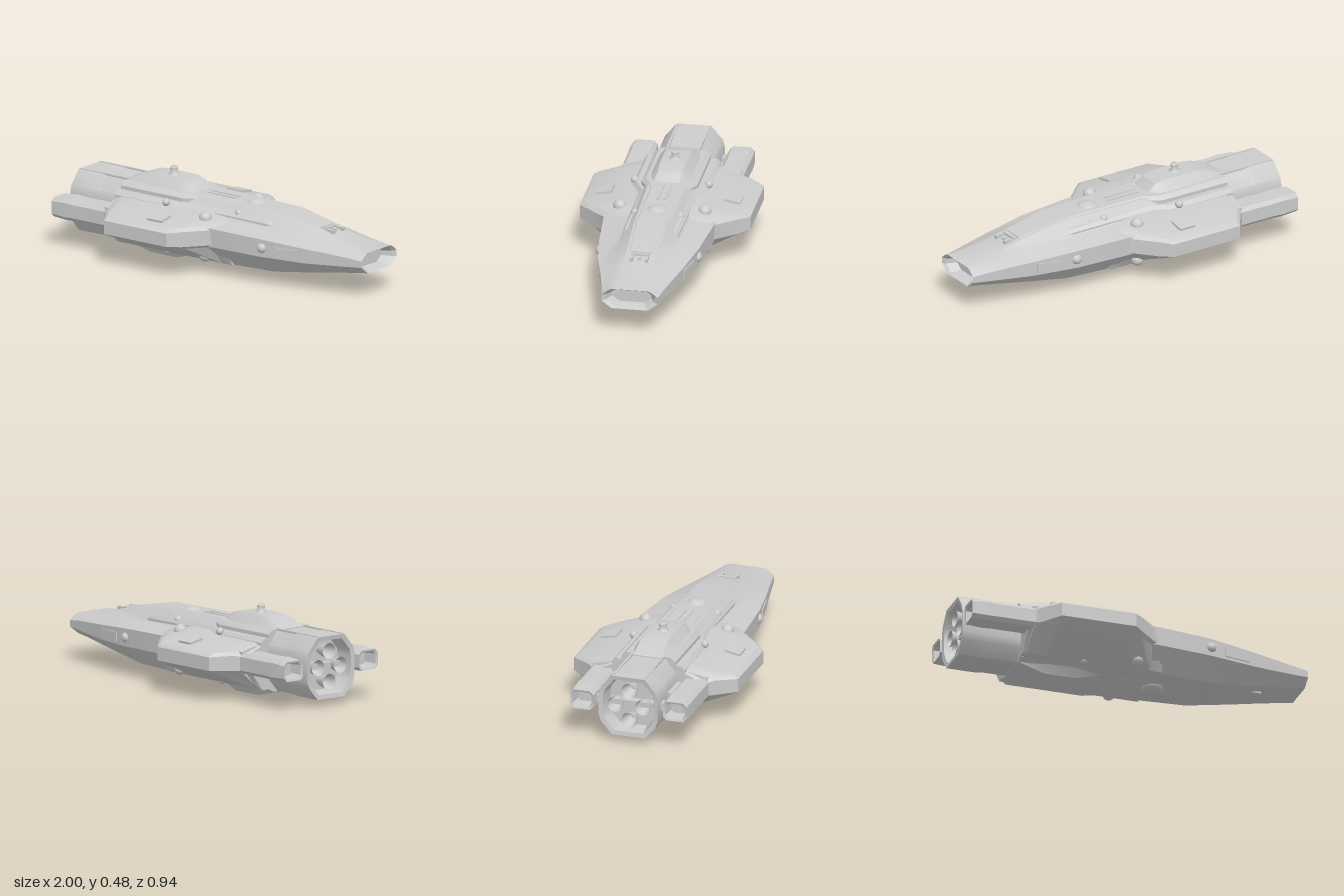
import * as THREE from 'three';
import { toCreasedNormals } from 'three/addons/utils/BufferGeometryUtils.js';

const material = new THREE.MeshStandardMaterial({ color: 0xcccccc });

// Lofts mirrored cross-sections along x. Each section is [x, z, y, z, y, ...],
// a half outline running from the top down, mirrored about z = zc.
function loft(sections, zc = 0, crease = 0.45) {
  const loops = sections.map(([x, ...c]) => {
    const half = [];
    for (let i = 0; i < c.length; i += 2) half.push([c[i], c[i + 1]]);
    const other = half.map(([z, y]) => [-z, y]).reverse();
    return [...half, ...other].map(([z, y]) => new THREE.Vector3(x, y, z + zc));
  });
  const out = [];
  const tri = (...v) => v.forEach((p) => out.push(p.x, p.y, p.z));
  const n = loops[0].length;
  for (let s = 0; s + 1 < loops.length; s++) {
    for (let i = 0; i < n; i++) {
      const j = (i + 1) % n, A = loops[s], B = loops[s + 1];
      tri(A[i], A[j], B[j]);
      tri(A[i], B[j], B[i]);
    }
  }
  const cap = (loop, flip) => {
    const mid = loop.reduce((m, p) => m.add(p), new THREE.Vector3()).divideScalar(n);
    loop.forEach((p, i) => {
      const q = loop[(i + 1) % n];
      flip ? tri(mid, q, p) : tri(mid, p, q);
    });
  };
  cap(loops[0], true);
  cap(loops[loops.length - 1], false);
  const g = new THREE.BufferGeometry();
  g.setAttribute('position', new THREE.Float32BufferAttribute(out, 3));
  return toCreasedNormals(g, crease);
}

// Section shrunk about height yc and moved to x, for hollow ends
const inset = (s, x, k, yc) => [x, ...s.slice(1).map((v, i) => (i % 2 ? yc + (v - yc) * k : v * k))];

export function createModel() {
  const ship = new THREE.Group();
  ship.name = 'spaceship';
  const add = (name, geo, x = 0, y = 0, z = 0) => {
    const m = new THREE.Mesh(geo, material);
    m.name = name;
    m.position.set(x, y, z);
    ship.add(m);
    return m;
  };
  const box = (name, w, h, d, x, y, z) => add(name, new THREE.BoxGeometry(w, h, d), x, y, z);
  const ball = (name, r, x, y, z, sy = 1) =>
    add(name, new THREE.SphereGeometry(r, 16, 10), x, y, z).scale.set(1, sy, 1);

  // Main hull with an open, recessed bow
  const nose = [1, 0.1, 0.257, 0.125, 0.245, 0.155, 0.22, 0.155, 0.185, 0.1, 0.143];
  add('hull', loft([
    [-0.64, 0.12, 0.38, 0.18, 0.32, 0.33, 0.285, 0.32, 0.165, 0.2, 0.06],
    [0.1, 0.1, 0.375, 0.165, 0.305, 0.305, 0.28, 0.3, 0.175, 0.18, 0.06],
    [0.4, 0.09, 0.372, 0.16, 0.3, 0.277, 0.27, 0.275, 0.17, 0.16, 0.062],
    [0.66, 0.08, 0.322, 0.14, 0.285, 0.228, 0.25, 0.226, 0.168, 0.13, 0.095],
    [0.76, 0.08, 0.29, 0.13, 0.272, 0.205, 0.243, 0.203, 0.172, 0.12, 0.11],
    [0.92, 0.09, 0.265, 0.125, 0.256, 0.17, 0.23, 0.17, 0.18, 0.105, 0.133],
    nose,
    inset(nose, 0.985, 0.86, 0.2),
    inset(nose, 0.93, 0.7, 0.2),
  ]));

  // Wide armoured flanks
  const flank = (x, w, top, bottom, deck = 0.325) =>
    [x, 0.2, deck, w - 0.03, top, w, top - 0.02, w, bottom + 0.015, w - 0.03, bottom, 0.2, 0.062];
  add('flanks', loft([
    flank(-0.66, 0.31, 0.275, 0.17, 0.31),
    flank(-0.61, 0.36, 0.285, 0.165),
    flank(-0.53, 0.472, 0.278, 0.168),
    flank(-0.1, 0.472, 0.278, 0.168),
    flank(-0.04, 0.415, 0.285, 0.165),
    flank(0.07, 0.305, 0.29, 0.17, 0.31),
    flank(0.14, 0.28, 0.27, 0.175, 0.29),
  ]));

  // Stepped shoulder deck and central spine
  add('shoulderDeck', loft([
    [-0.66, 0.19, 0.345, 0.21, 0.325, 0.21, 0.28],
    [-0.28, 0.19, 0.345, 0.21, 0.325, 0.21, 0.28],
    [-0.17, 0.14, 0.345, 0.16, 0.325, 0.16, 0.28],
    [0.34, 0.14, 0.338, 0.155, 0.32, 0.155, 0.28],
    [0.42, 0.12, 0.31, 0.135, 0.3, 0.135, 0.28],
  ]));
  add('spine', loft([
    [-0.66, 0.13, 0.388, 0.155, 0.365, 0.155, 0.3],
    [-0.24, 0.13, 0.385, 0.155, 0.365, 0.155, 0.3],
    [-0.14, 0.08, 0.382, 0.1, 0.365, 0.1, 0.3],
    [0.38, 0.075, 0.378, 0.09, 0.365, 0.09, 0.3],
    [0.64, 0.06, 0.33, 0.07, 0.32, 0.07, 0.28],
  ]));

  // Keel and belly bay
  add('keel', loft([
    [-0.66, 0.15, 0.1, 0.15, 0.06, 0.12, 0.045],
    [-0.2, 0.15, 0.1, 0.15, 0.06, 0.12, 0.05],
    [-0.1, 0.09, 0.1, 0.09, 0.065, 0.07, 0.055],
    [0.4, 0.08, 0.1, 0.08, 0.065, 0.06, 0.058],
  ]));
  add('bellyBay', loft([
    [-0.66, 0.12, 0.08, 0.11, 0.045],
    [-0.5, 0.145, 0.08, 0.095, 0.003],
    [-0.32, 0.145, 0.08, 0.095, 0.003],
    [-0.17, 0.11, 0.08, 0.08, 0.05],
  ]));

  // Bridge with sensor mast
  add('bridge', loft([
    [-0.68, 0.08, 0.388, 0.1, 0.37],
    [-0.56, 0.075, 0.432, 0.125, 0.37],
    [-0.5, 0.07, 0.44, 0.125, 0.37],
    [-0.31, 0.07, 0.438, 0.125, 0.37],
    [-0.25, 0.065, 0.425, 0.115, 0.37],
    [-0.2, 0.06, 0.38, 0.09, 0.37],
  ]));
  const mast = [[0.045, 0], [0.035, 0.012], [0.018, 0.025], [0.022, 0.045], [0.02, 0.055], [0, 0.055]];
  add('sensorMast', new THREE.LatheGeometry(mast.map(([r, y]) => new THREE.Vector2(r, y)), 14), -0.415, 0.427, 0);

  // Main engine: hollow octagonal housing
  const stern = [-1, 0.095, 0.388, 0.16, 0.31, 0.17, 0.27, 0.17, 0.15, 0.155, 0.11, 0.095, 0.042];
  add('mainEngine', loft([
    inset(stern, -0.9, 0.8, 0.215),
    inset(stern, -0.995, 0.86, 0.215),
    stern,
    [-0.84, ...stern.slice(1)],
    inset(stern, -0.8, 0.97, 0.215),
    inset(stern, -0.58, 0.97, 0.215),
  ]));
  const bell = [[0.02, 0], [0.032, 0.03], [0.045, 0.085]].map(([r, y]) => new THREE.Vector2(r, y));
  const bellGeo = new THREE.LatheGeometry(bell, 16).rotateZ(Math.PI / 2);
  const bellMaterial = material.clone();
  bellMaterial.side = THREE.DoubleSide;
  for (const [y, z] of [[0.3, 0], [0.13, 0], [0.215, 0.08], [0.215, -0.08]]) {
    add('mainNozzle', bellGeo, -0.9, y, z).material = bellMaterial;
  }
  box('engineBrace', 0.05, 0.03, 0.25, -0.92, 0.215, 0);
  for (const s of [-1, 1]) {
    box('engineRidge', 0.34, 0.014, 0.012, -0.82, 0.385, s * 0.088);

    // Side engine pods with square openings
    const pod = (x, w, t, b) => [x, w - 0.02, t, w, t - 0.02, w, b + 0.02, w - 0.02, b];
    const exit = pod(-1, 0.068, 0.277, 0.167);
    add('sideEngine', loft([
      inset(exit, -0.92, 0.68, 0.222),
      inset(exit, -0.995, 0.8, 0.222),
      exit,
      pod(-0.9, 0.073, 0.283, 0.163),
      pod(-0.86, 0.07, 0.28, 0.165),
      pod(-0.55, 0.07, 0.28, 0.165),
    ], s * 0.268));
    box('enginePylon', 0.2, 0.06, 0.06, -0.72, 0.222, s * 0.185);
    box('engineClamp', 0.05, 0.04, 0.05, -0.93, 0.222, s * 0.185);

    // Turrets, above and below
    ball('upperTurret', 0.037, -0.015, 0.31, s * 0.235);
    ball('lowerTurret', 0.035, -0.015, 0.1, s * 0.237);
    ball('smallTurret', 0.022, -0.31, 0.342, s * 0.205);
    ball('smallTurret', 0.022, 0.13, 0.338, s * 0.125);
    ball('lowerSmallTurret', 0.022, -0.31, 0.07, s * 0.19);
    ball('sidePod', 0.03, 0.4, 0.22, s * 0.265);

    // Deck details: rails, hatches, side panels
    box('deckRail', 0.2, 0.012, 0.014, -0.07, 0.38, s * 0.02);
    box('shoulderRail', 0.2, 0.01, 0.012, 0.12, 0.344, s * 0.115);
    const hatch = box('flankHatch', 0.1, 0.014, 0.09, -0.24, 0.3, s * 0.355);
    hatch.rotation.x = s * 0.19;
    const panel = box('bowPanel', 0.15, 0.05, 0.014, 0.56, 0.21, s * 0.245);
    panel.rotation.y = s * 0.185;
    box('bowHatchProng', 0.07, 0.02, 0.016, 0.69, 0.314, s * 0.042);
  }

  // Bow hatch, chin slot and sensor domes on the centre line
  box('bowHatchBar', 0.02, 0.022, 0.1, 0.66, 0.319, 0);
  box('bowHatchPin', 0.05, 0.014, 0.012, 0.68, 0.314, 0);
  box('chinSlot', 0.05, 0.022, 0.09, 0.74, 0.112, 0);
  ball('upperDome', 0.06, 0.155, 0.365, 0, 0.55);
  ball('lowerDome', 0.065, 0.155, 0.063, 0, 0.55);
  return ship;
}
